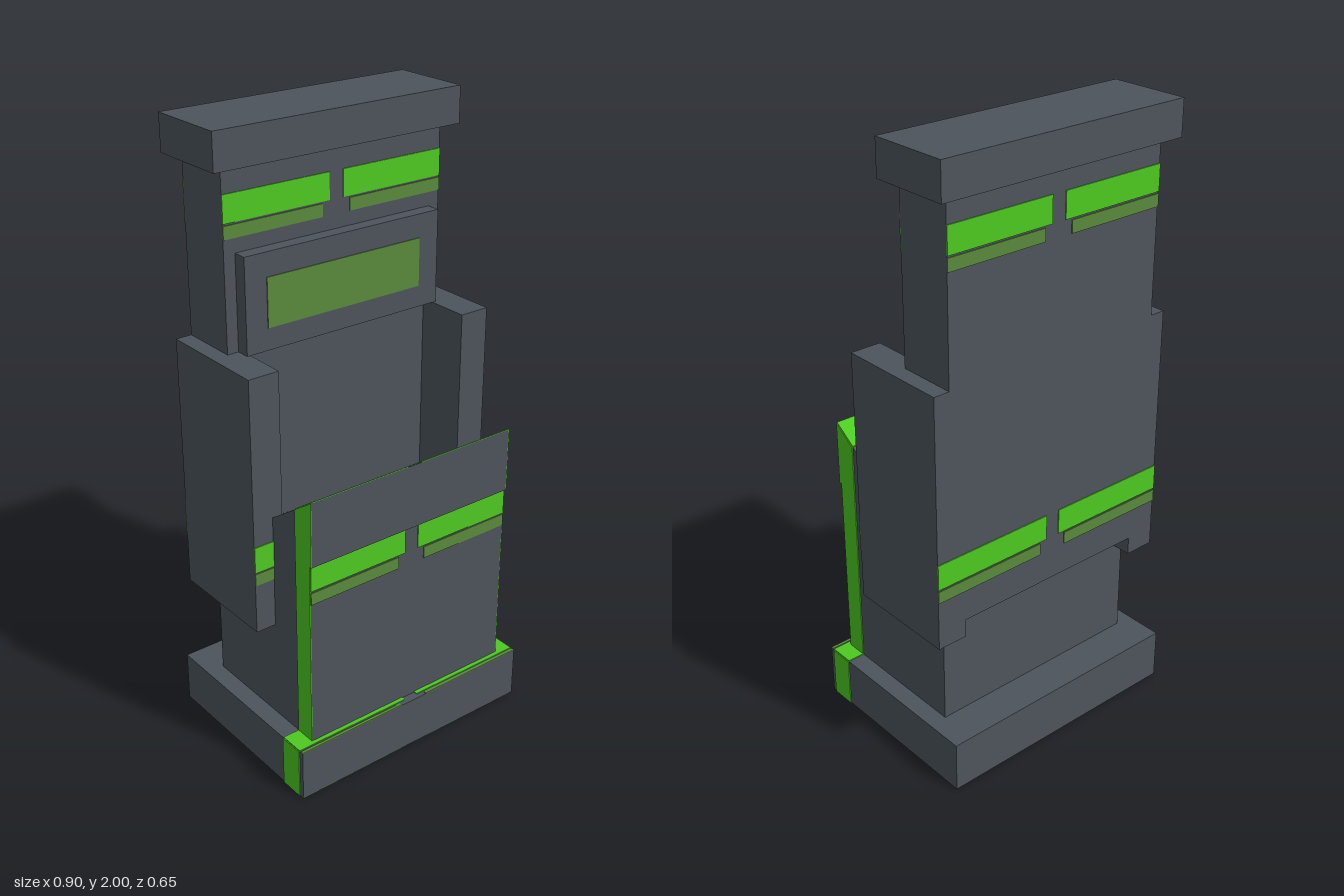
import * as THREE from 'three';

const grey = new THREE.MeshStandardMaterial({ color: 0x4d545b });
grey.name = 'dark grey casing';
const green = new THREE.MeshStandardMaterial({ color: 0x4dca20 });
green.name = 'bright green trim';
const olive = new THREE.MeshStandardMaterial({ color: 0x59893a });
olive.name = 'muted green trim';

const T = 0.003; // thickness of painted plates

export function createModel() {
  const model = new THREE.Group();
  model.name = 'cabinet';

  const add = (name, geometry, material) => {
    const mesh = new THREE.Mesh(geometry, material);
    mesh.name = name;
    model.add(mesh);
  };

  // Box given by its limits on each axis
  const box = (name, material, [x0, x1], [y0, y1], [z0, z1]) => {
    const g = new THREE.BoxGeometry(x1 - x0, y1 - y0, z1 - z0);
    g.translate((x0 + x1) / 2, (y0 + y1) / 2, (z0 + z1) / 2);
    add(name, g, material);
  };

  // Side profile of [z, y] points, extruded from x0 to x1
  const profile = (name, material, points, x0, x1) => {
    const shape = new THREE.Shape(points.map(([z, y]) => new THREE.Vector2(-z, y)));
    const g = new THREE.ExtrudeGeometry(shape, { depth: x1 - x0, bevelEnabled: false });
    g.rotateY(Math.PI / 2).translate(x0, 0, 0);
    add(name, g, material);
  };

  // Limits on the left (+1) or right (-1) side
  const side = (s, a, b) => (s > 0 ? [a, b] : [-b, -a]);

  // Casing
  box('base', grey, [-0.44, 0.44], [0, 0.17], [-0.327, 0.327]);
  profile('lowerCabinet', grey, [
    [-0.2, 0.17], [0.297, 0.17], [0.297, 0.795], [0.306, 0.795],
    [0.306, 1.007], [0.115, 0.876], [-0.07, 0.749], [-0.2, 0.749],
  ], -0.38, 0.38);
  box('backColumn', grey, [-0.345, 0.345], [0.56, 1.335], [-0.265, -0.07]);
  box('upperCabinet', grey, [-0.395, 0.395], [1.335, 1.885], [-0.265, -0.07]);
  box('screenPanel', grey, [-0.357, 0.357], [1.335, 1.635], [-0.07, -0.025]);
  box('screen', olive, [-0.283, 0.283], [1.405, 1.56], [-0.025, -0.025 + T]);
  box('topCap', grey, [-0.44, 0.44], [1.885, 2], [-0.303, -0.033]);

  for (const s of [1, -1]) {
    box('sideWing', grey, side(s, 0.345, 0.448), [0.5, 1.335], [-0.265, 0.113]);

    // Two-tone bands, parted at the middle: [bottom, inner x, outer x, z0, z1]
    for (const [y, inner, outer, z0, z1] of [
      [1.68, 0.025, 0.395, -0.07, -0.07 + T],
      [1.68, 0.025, 0.395, -0.265 - T, -0.265],
      [0.665, 0.025, 0.38, 0.297, 0.297 + T],
      [0.665, 0.38, 0.448, 0.113, 0.113 + T],
      [0.665, 0.025, 0.448, -0.265 - T, -0.265],
    ]) {
      box('brightBand', green, side(s, inner, outer), [y + 0.046, y + 0.13], [z0, z1]);
      box('mutedBand', olive, side(s, Math.max(inner, 0.05), outer), [y, y + 0.04], [z0, z1]);
    }

    // Green front edge of the lower cabinet: flank and sloping top
    profile('flankStrip', green, [
      [0.228, 0.17], [0.297, 0.17], [0.297, 0.795], [0.306, 0.795], [0.306, 1.007], [0.228, 0.954],
    ], ...side(s, 0.38, 0.38 + T));
    profile('slopeStrip', green, [
      [0.228, 0.954], [0.306, 1.007], [0.306, 1.007 + T], [0.228, 0.954 + T],
    ], ...side(s, 0.025, 0.38));

    // Green stripe wrapping the base
    box('baseSideStripe', green, side(s, 0.44, 0.44 + T), [0, 0.17], [0.228, 0.311]);
    for (const y of [[0.17, 0.17 + T], [-0.001, 0.002]]) {
      box('baseStripe', green, side(s, 0.025, 0.44), y, [0.228, 0.311]);
      box('baseEdgeStripe', olive, side(s, 0.05, 0.44), y, [0.317, 0.327]);
    }
  }

  return model;
}
